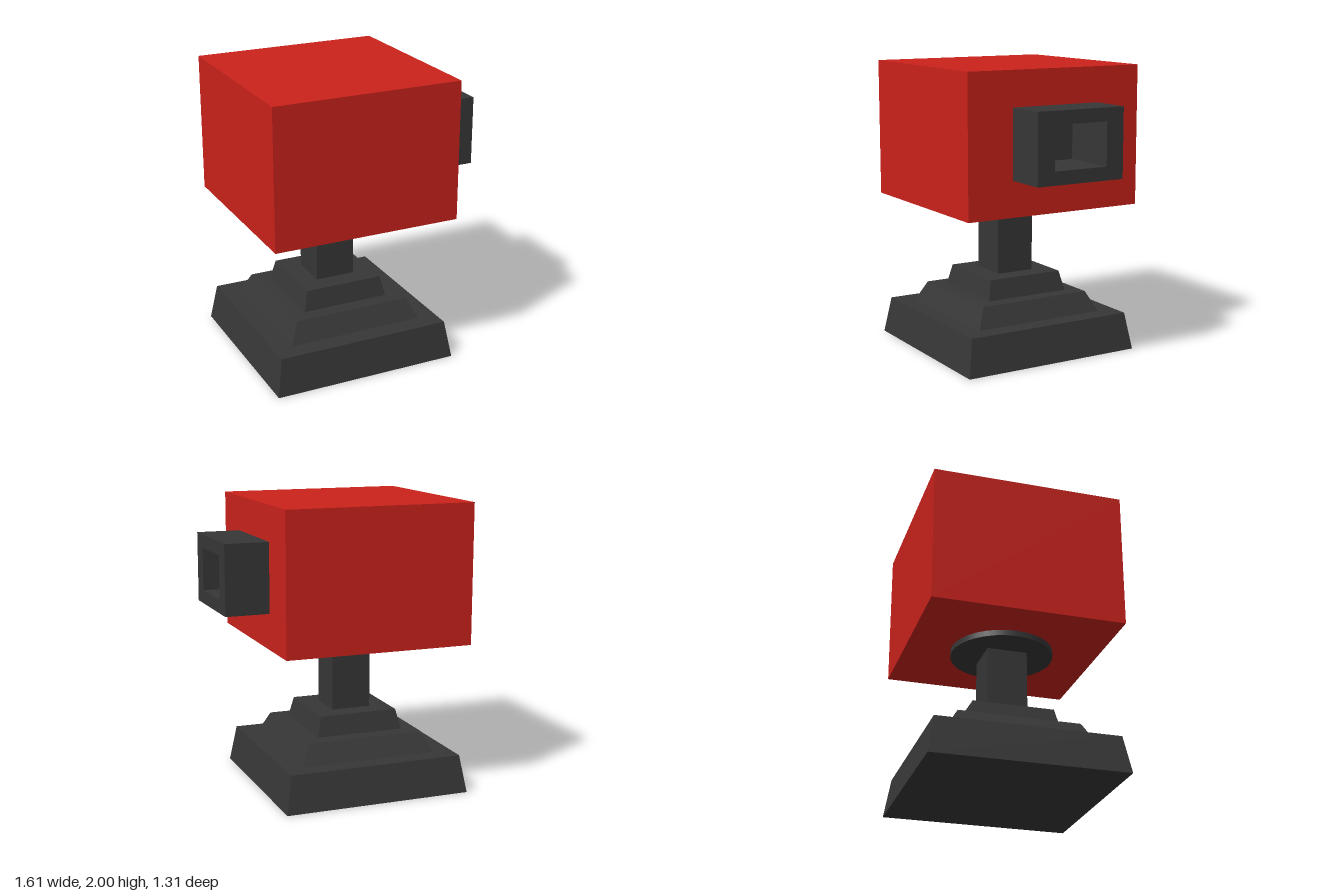
import * as THREE from 'three';
import { mergeGeometries } from 'three/addons/utils/BufferGeometryUtils.js';

const CX = -0.152; // vertical axis of stand and head
const HALF = 0.657;

export function createModel() {
  const root = new THREE.Group();
  const red = new THREE.MeshStandardMaterial({ color: 0xcc221b });
  const dark = new THREE.MeshStandardMaterial({ color: 0x373737 });
  const lining = new THREE.MeshStandardMaterial({ color: 0x373737, side: THREE.BackSide });

  const add = (name, geometry, material) => {
    const mesh = new THREE.Mesh(geometry, material);
    mesh.name = name;
    root.add(mesh);
    return mesh;
  };

  // Square block whose half width goes from `bottom` to `top`
  const taperedBlock = (bottom, top, y0, y1) => {
    const g = new THREE.BoxGeometry(2, y1 - y0, 2);
    const p = g.attributes.position;
    for (let i = 0; i < p.count; i++) {
      const h = p.getY(i) > 0 ? top : bottom;
      p.setXYZ(i, p.getX(i) * h, p.getY(i), p.getZ(i) * h);
    }
    g.computeVertexNormals();
    return g.translate(CX, (y0 + y1) / 2, 0);
  };

  // Box between two x positions, open on its +x side
  const openBox = (x0, x1, halfZ, y0, y1) => {
    const g = new THREE.BoxGeometry(x1 - x0, y1 - y0, halfZ * 2);
    g.setIndex(Array.from(g.index.array).slice(6));
    g.clearGroups();
    return g.translate((x0 + x1) / 2, (y0 + y1) / 2, 0);
  };

  // Flat rectangular frame facing +x; outer and inner are [halfZ, y0, y1]
  const frame = (x, outer, inner) => {
    const corners = ([h, y0, y1]) =>
      [[-h, y0], [h, y0], [h, y1], [-h, y1]].map(([a, b]) => new THREE.Vector2(a, b));
    const shape = new THREE.Shape(corners(outer));
    shape.holes.push(new THREE.Path(corners(inner)));
    return new THREE.ShapeGeometry(shape).rotateY(Math.PI / 2).translate(x, 0, 0);
  };

  // Stepped base and post
  add('baseLowerTier', taperedBlock(0.655, 0.612, 0, 0.258), dark);
  add('baseMiddleTier', taperedBlock(0.48, 0.412, 0.258, 0.397), dark);
  add('baseUpperTier', taperedBlock(0.308, 0.277, 0.397, 0.535), dark);
  add('post', taperedBlock(0.139, 0.139, 0.535, 0.994), dark);

  // Swivel disc under the head
  add('swivelDisc', new THREE.CylinderGeometry(0.352, 0.352, 0.04, 32).translate(CX, 1.021, 0), dark);

  // Head: box with an opening behind the nozzle
  const headX = 0.504, tipX = 0.805;
  const nozzle = [0.327, 1.285, 1.76], bore = [0.198, 1.376, 1.67];
  add('head', mergeGeometries([
    openBox(CX - HALF, headX, HALF, 1.041, 2),
    frame(headX, [HALF, 1.041, 2], nozzle),
  ]), red);

  // Nozzle shell, its rim, and the recess seen through it
  add('nozzle', mergeGeometries([
    openBox(headX, tipX, ...nozzle),
    frame(tipX, nozzle, bore),
  ]), dark);
  add('nozzleRecess', openBox(headX - 0.1, tipX, ...bore), lining);

  // The open shell's back wall would block the bore, so drop that face too
  const shell = root.getObjectByName('nozzle').geometry;
  shell.setIndex(Array.from(shell.index.array).slice(6));

  return root;
}
